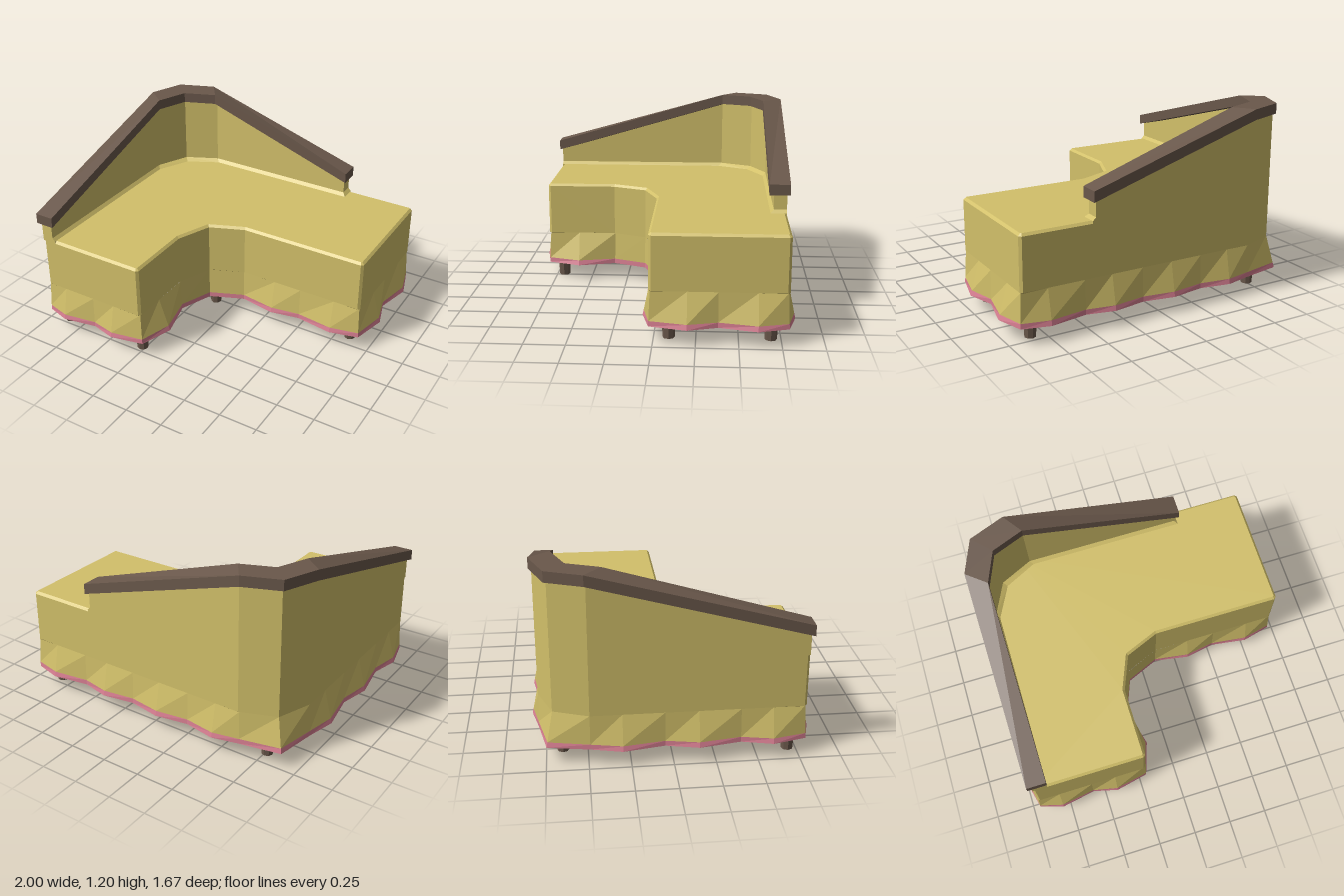
import * as THREE from 'three';

const mat = (name, color, side = THREE.FrontSide) => {
  const m = new THREE.MeshStandardMaterial({ color, side });
  m.name = name;
  return m;
};

// Joins equal-length sections into flat facets
function loft(sections, { closed = true, caps = true } = {}) {
  const out = [];
  const tri = (...ps) => ps.forEach((p) => out.push(...p));
  const n = sections[0].length;
  for (let s = 0; s < sections.length - 1; s++) {
    const a = sections[s], b = sections[s + 1];
    for (let i = 0; i < (closed ? n : n - 1); i++) {
      const j = (i + 1) % n;
      tri(a[i], a[j], b[j]);
      tri(a[i], b[j], b[i]);
    }
  }
  if (caps) {
    const a = sections[0], b = sections[sections.length - 1];
    for (let k = 1; k < n - 1; k++) {
      tri(a[0], a[k + 1], a[k]);
      tri(b[0], b[k], b[k + 1]);
    }
  }
  const g = new THREE.BufferGeometry();
  g.setAttribute('position', new THREE.Float32BufferAttribute(out, 3));
  g.computeVertexNormals();
  return g;
}

// Nearest point to (x, z) on a closed outline
function nearest(outline, [x, z]) {
  let best = null, bestD = Infinity;
  outline.forEach(([ax, az], i) => {
    const [bx, bz] = outline[(i + 1) % outline.length];
    const dx = bx - ax, dz = bz - az;
    const t = THREE.MathUtils.clamp(((x - ax) * dx + (z - az) * dz) / (dx * dx + dz * dz), 0, 1);
    const p = [ax + dx * t, az + dz * t], d = Math.hypot(p[0] - x, p[1] - z);
    if (d < bestD) { bestD = d; best = p; }
  });
  return best;
}

export function createModel() {
  const model = new THREE.Group();
  model.name = 'cornerSofa';
  const fabric = mat('mustard fabric', 0xd2c06a, THREE.DoubleSide);
  const wood = mat('dark wood', 0x6a584b);
  const trim = mat('pink trim', 0xd97f92, THREE.DoubleSide);
  const add = (name, geo, material) => {
    const m = new THREE.Mesh(geo, material);
    m.name = name;
    model.add(m);
    return m;
  };

  // L-shaped seat, outline as [x, z], with small chamfers on square corners
  const c = 0.015;
  const outline = [
    [0.94 - c, -0.79], [0.94, -0.79 + c], [0.94, 0.025 - c], [0.94 - c, 0.025],
    [0.1, 0.025], [-0.12, 0.115], [-0.21, 0.335],
    [-0.21, 0.79 - c], [-0.21 - c, 0.79], [-0.945 + c, 0.79], [-0.945, 0.79 - c],
    [-0.945, -0.49], [-0.865, -0.705], [-0.64, -0.79],
  ];
  const shape = new THREE.Shape(outline.map(([x, z]) => new THREE.Vector2(x, -z)));
  const seat = new THREE.ExtrudeGeometry(shape, {
    depth: 0.33, bevelEnabled: true, bevelThickness: c, bevelSize: c, bevelOffset: -c, bevelSegments: 1,
  });
  seat.rotateX(-Math.PI / 2).translate(0, 0.32, 0);
  add('seat', seat, fabric);

  // Sloping backrest with a small fillet where it meets the seat
  const wallPath = [ // outer x, z, inner x, z, top
    [-0.945, 0.79, -0.87, 0.79, 0.81],
    [-0.945, -0.49, -0.87, -0.4, 1.15],
    [-0.865, -0.705, -0.77, -0.61, 1.15],
    [-0.64, -0.79, -0.56, -0.71, 1.15],
    [0.46, -0.79, 0.46, -0.71, 0.81],
    [0.46, -0.79, 0.46, -0.71, 0.685],
    [0.48, -0.79, 0.48, -0.71, 0.665],
  ];
  const wall = wallPath.map(([ox, oz, ix, iz, top]) => {
    const fx = ix + (ix - ox) * 0.25, fz = iz + (iz - oz) * 0.25;
    return [
      [ox, 0.65, oz], [ox, top, oz], [ix, top, iz], [ix, Math.min(0.685, top), iz],
      [fx, 0.665, fz], [fx, 0.65, fz],
    ];
  });
  add('backrest', loft(wall), fabric);

  // Wooden rail over the backrest
  const railPath = [
    [-0.968, 0.807, -0.845, 0.807, 0.845],
    [-0.968, -0.5, -0.845, -0.4, 1.197],
    [-0.88, -0.72, -0.765, -0.6, 1.197],
    [-0.65, -0.808, -0.56, -0.68, 1.197],
    [0.48, -0.808, 0.48, -0.68, 0.845],
  ];
  add('topRail', loft(railPath.map(([ox, oz, ix, iz, top]) => [
    [ox, top - 0.067, oz], [ox, top, oz], [ix, top, iz], [ix, top - 0.067, iz],
  ])), wood);

  // Flared pleated skirt: wavy hem gathered up to the seat outline
  const hem = [
    [0.945, -0.79], [1, -0.61], [0.945, -0.38], [1, -0.2], [0.945, 0.025],
    [0.76, 0.07], [0.52, 0.035], [0.33, 0.07], [0.1, 0.03],
    [-0.115, 0.12], [-0.2, 0.335], [-0.135, 0.58], [-0.205, 0.79],
    [-0.42, 0.835], [-0.58, 0.795], [-0.8, 0.835], [-0.95, 0.79],
    [-1, 0.59], [-0.955, 0.4], [-1, 0.15], [-0.955, -0.05], [-1, -0.3], [-0.955, -0.49],
    [-0.91, -0.745], [-0.65, -0.795],
    [-0.48, -0.835], [-0.28, -0.8], [-0.065, -0.835], [0.14, -0.8],
    [0.35, -0.835], [0.53, -0.795], [0.77, -0.835],
  ];
  const ring = (y) => hem.map((p) => {
    const q = nearest(outline, p), t = (0.32 - y) / 0.215;
    return [q[0] + (p[0] - q[0]) * t, y, q[1] + (p[1] - q[1]) * t];
  });
  add('skirt', loft([ring(0.32), ring(0.137)], { caps: false }), fabric);
  add('skirtTrim', loft([ring(0.137), ring(0.105)], { caps: false }), trim);

  // Tapered legs
  const leg = new THREE.CylinderGeometry(0.052, 0.036, 0.32, 8).toNonIndexed();
  leg.computeVertexNormals();
  [[-0.87, 0.7], [-0.27, 0.7], [-0.135, 0.01], [0.84, -0.09], [0.84, -0.69], [-0.76, -0.65]]
    .forEach(([x, z], i) => add(`leg${i + 1}`, leg, wood).position.set(x, 0.16, z));

  return model;
}
